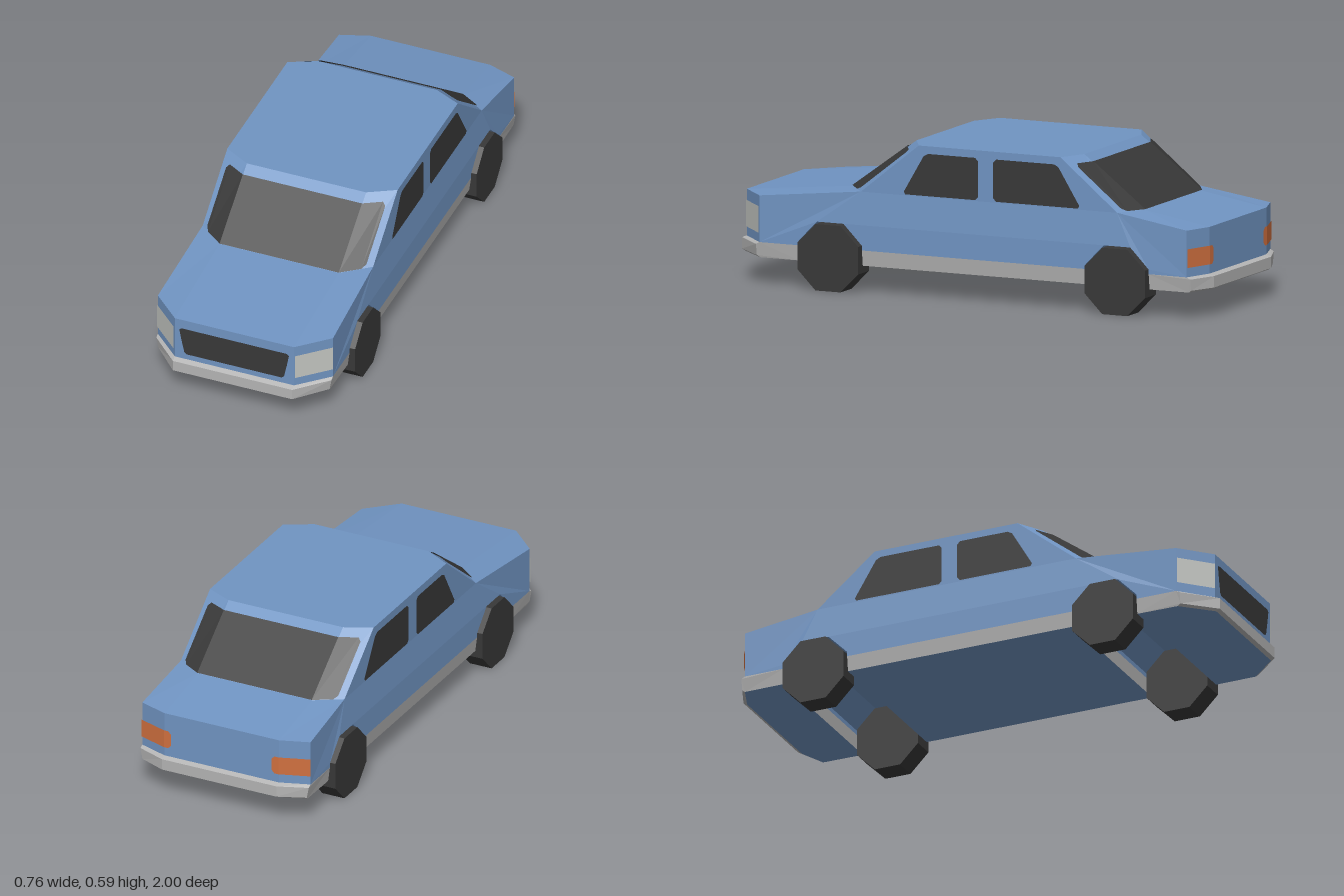
import * as THREE from 'three';

const mat = (name, color, side = THREE.FrontSide) => {
  const m = new THREE.MeshStandardMaterial({ color, side });
  m.name = name;
  return m;
};

const X_IN = 0.245;      // where the bevelled corners start
const WHEEL_Y = 0.128;
const AXLES = [-0.645, 0.57];
const ARCH = 0.134;

// Profile point: z at the middle, z at the side, height, half width
const pt = (zIn, zOut, y, xOut = 0.36, floor = false) => ({ zIn, zOut, y, xOut, floor });

function flatGeometry(positions) {
  const g = new THREE.BufferGeometry();
  g.setAttribute('position', new THREE.Float32BufferAttribute(positions, 3));
  g.computeVertexNormals();
  return g;
}

// Skin a side profile over four stations across the width and cap both sides.
// Edges that start at a floor point use the second material.
function loft(name, profile, materials) {
  const stations = [
    p => [-p.xOut, p.y, p.zOut],
    p => [-X_IN, p.y, p.zIn],
    p => [X_IN, p.y, p.zIn],
    p => [p.xOut, p.y, p.zOut],
  ];
  const parts = [[], []];
  profile.forEach((p, i) => {
    const q = profile[(i + 1) % profile.length];
    const out = parts[p.floor ? 1 : 0];
    for (let s = 0; s < 3; s++) {
      const a = stations[s](p), b = stations[s + 1](p), c = stations[s + 1](q), d = stations[s](q);
      out.push(...a, ...b, ...c, ...a, ...c, ...d);
    }
  });
  const outline = profile.map(p => new THREE.Vector2(p.zOut, p.y));
  for (const face of THREE.ShapeUtils.triangulateShape(outline, [])) {
    const [a, b, c] = face.map(i => outline[i]);
    const positive = (b.x - a.x) * (c.y - a.y) - (b.y - a.y) * (c.x - a.x) > 0;
    const left = positive ? [face[0], face[2], face[1]] : face;
    for (const i of left) parts[0].push(...stations[3](profile[i]));
    for (const i of [...left].reverse()) parts[0].push(...stations[0](profile[i]));
  }
  const g = flatGeometry([...parts[0], ...parts[1]]);
  g.addGroup(0, parts[0].length / 3, 0);
  g.addGroup(parts[0].length / 3, parts[1].length / 3, 1);
  const mesh = new THREE.Mesh(g, materials);
  mesh.name = name;
  return mesh;
}

// Thin face laid over the bevelled panels between two profile points.
// Columns are [x, low, high], with low and high as fractions of the panel height.
function plate(name, columns, lower, upper, material) {
  const end = Math.sign(lower.zIn);
  const at = (x, v) => {
    const on = p => {
      const f = Math.max(0, (Math.abs(x) - X_IN) / (p.xOut - X_IN));
      return [p.y, THREE.MathUtils.lerp(p.zIn, p.zOut, f)];
    };
    const [y0, z0] = on(lower), [y1, z1] = on(upper);
    const lift = Math.abs(z1 - z0) > 0.05 ? 0.003 : 0;
    const out = Math.abs(x) > X_IN + 0.001 ? Math.sign(x) * 0.002 : 0;
    return [x + out, y0 + (y1 - y0) * v + lift, z0 + (z1 - z0) * v + end * 0.003];
  };
  const cols = end > 0 ? columns : [...columns].reverse();
  const pos = [];
  for (let i = 0; i + 1 < cols.length; i++) {
    const [p, q] = [cols[i], cols[i + 1]];
    const a = at(p[0], p[1]), b = at(q[0], q[1]), c = at(q[0], q[2]), d = at(p[0], p[2]);
    pos.push(...a, ...b, ...c, ...a, ...c, ...d);
  }
  const mesh = new THREE.Mesh(flatGeometry(pos), material);
  mesh.name = name;
  return mesh;
}

// Full column list from its positive-x half, given from the middle outwards
const mirrored = half => [...half.map(([x, a, b]) => [-x, a, b]).reverse(), ...half];

// Side window outline with clipped corners
function windowShape(corners) {
  const v = corners.map(c => new THREE.Vector2(...c));
  const points = [];
  v.forEach((p, i) => {
    for (const n of [v[(i + v.length - 1) % v.length], v[(i + 1) % v.length]]) {
      points.push(p.clone().add(n.clone().sub(p).setLength(0.012)));
    }
  });
  return new THREE.Shape(points);
}

export function createModel() {
  const car = new THREE.Group();
  car.name = 'car';
  const paint = mat('blue paint', 0x7094c2);
  const trim = mat('grey trim', 0xb4b4b4);
  const dark = mat('dark glass and rubber', 0x383838, THREE.DoubleSide);
  const lamp = mat('headlight', 0xc4c6c2, THREE.DoubleSide);
  const orange = mat('tail light', 0xd0703f, THREE.DoubleSide);

  // Painted shell with wheel arches cut right across
  const noseLow = pt(0.98, 0.87, 0.165), noseTop = pt(0.98, 0.87, 0.345);
  const screenLow = pt(0.53, 0.445, 0.39, 0.35), roofFront = pt(0.26, 0.2, 0.586, 0.35);
  const roofRear = pt(-0.45, -0.4, 0.586, 0.35), rearLow = pt(-0.705, -0.64, 0.39, 0.35);
  const tailTop = pt(-0.98, -0.94, 0.345), tailLow = pt(-0.98, -0.94, 0.165);
  const arches = AXLES.flatMap(c => [
    [-ARCH, 0.165], [-ARCH, 0.183], [-0.056, 0.262], [0.056, 0.262], [ARCH, 0.183], [ARCH, 0.165],
  ].map(([dz, y]) => pt(c + dz, c + dz, y)));
  car.add(loft('body', [
    noseLow, noseTop, screenLow, roofFront, roofRear, rearLow, tailTop, tailLow, ...arches,
  ], [paint, paint]));

  // Bumpers and sill, with painted undersides
  const rearCut = AXLES[0] - ARCH, midRear = AXLES[0] + ARCH;
  const midFront = AXLES[1] - ARCH, frontCut = AXLES[1] + ARCH;
  car.add(loft('frontBumper', [
    pt(frontCut, frontCut, 0.105, 0.352, true), pt(0.985, 0.872, 0.105, 0.35),
    pt(1, 0.885, 0.113, 0.352), pt(1, 0.885, 0.157), pt(0.98, 0.87, 0.165),
    pt(frontCut, frontCut, 0.165),
  ], [trim, paint]));
  car.add(loft('sill', [
    pt(midRear, midRear, 0.105, 0.352, true), pt(midFront, midFront, 0.105, 0.352),
    pt(midFront, midFront, 0.165), pt(midRear, midRear, 0.165),
  ], [trim, paint]));
  car.add(loft('rearBumper', [
    pt(-0.985, -0.945, 0.105, 0.35, true), pt(rearCut, rearCut, 0.105, 0.352),
    pt(rearCut, rearCut, 0.165), pt(-0.98, -0.94, 0.165),
    pt(-1, -0.955, 0.157), pt(-1, -0.955, 0.113, 0.352),
  ], [trim, paint]));

  // Front and rear glass wrap round the bevelled pillars
  const glass = mirrored([[X_IN, 0, 0.86], [0.313, 0, 0.86], [0.325, 0.05, 0.8]]);
  car.add(plate('windscreen', glass, screenLow, roofFront, dark));
  car.add(plate('rearWindow', glass, rearLow, roofRear, dark));

  // Grille and lights
  car.add(plate('grille', mirrored([[0.195, 0.14, 0.79], [0.205, 0.19, 0.79], [0.217, 0.5, 0.79], [0.225, 0.74, 0.75]]),
    noseLow, noseTop, dark));
  for (const s of [1, -1]) {
    const side = half => (s > 0 ? half : half.map(([x, a, b]) => [-x, a, b]).reverse());
    car.add(plate('headlight', side([[X_IN + 0.002, 0.2, 0.77], [0.359, 0.2, 0.77]]), noseLow, noseTop, lamp));
    car.add(plate('tailLight', side([[0.215, 0.27, 0.53], [0.227, 0.2, 0.6], [X_IN, 0.2, 0.6], [0.359, 0.2, 0.6]]),
      tailLow, tailTop, orange));
  }

  // Side windows
  const panes = {
    frontSideWindow: [[0.268, 0.394], [0.172, 0.557], [-0.052, 0.557], [-0.052, 0.394]],
    rearSideWindow: [[-0.117, 0.394], [-0.117, 0.557], [-0.387, 0.557], [-0.488, 0.394]],
  };
  for (const [name, corners] of Object.entries(panes)) {
    for (const s of [1, -1]) {
      // Shape x runs along z, facing outwards on each side
      const shape = windowShape(corners.map(([z, y]) => [-s * z, y]));
      const pane = new THREE.Mesh(new THREE.ShapeGeometry(shape), dark);
      pane.rotation.y = s * Math.PI / 2;
      pane.position.x = s * 0.353;
      pane.name = name;
      car.add(pane);
    }
  }

  // Eight-sided wheels
  const tyre = new THREE.CylinderGeometry(0.1385, 0.1385, 0.094, 8).rotateY(Math.PI / 8)
    .rotateZ(Math.PI / 2).toNonIndexed();
  tyre.computeVertexNormals();
  for (const z of AXLES) {
    for (const s of [1, -1]) {
      const wheel = new THREE.Mesh(tyre, dark);
      wheel.position.set(s * 0.333, WHEEL_Y, z);
      wheel.name = z > 0 ? 'frontWheel' : 'rearWheel';
      car.add(wheel);
    }
  }
  return car;
}
